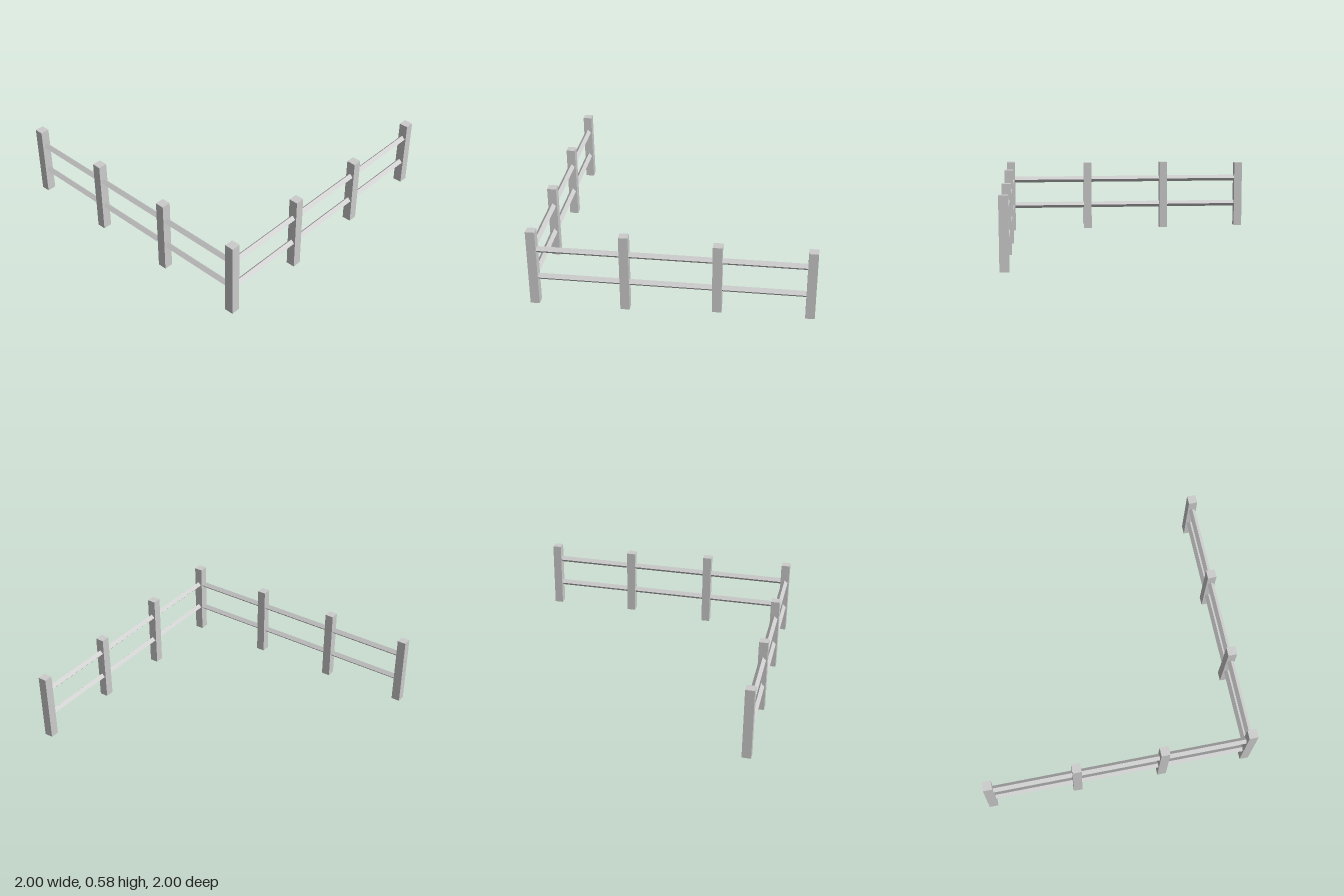
import * as THREE from 'three';

export function createModel() {
  const group = new THREE.Group();
  group.name = 'cornerFence';
  const grey = new THREE.MeshStandardMaterial({ color: 0xcccccc });
  grey.name = 'light grey';

  const W = 0.066;         // post width
  const E = 1 - W / 2;     // centre line of both fence runs
  const MID = 0.289;       // mid height shared by all posts

  // Square posts: [x, z, height]
  const posts = [
    [-E, E, 0.578], [-E / 3, E, 0.578], [E / 3, E, 0.52], [E, E, 0.52],
    [-E, E / 3, 0.56], [-E, -E / 3, 0.56], [-E, -E, 0.54],
  ];
  posts.forEach(([x, z, h], i) => {
    const post = new THREE.Mesh(new THREE.BoxGeometry(W, h, W), grey);
    post.position.set(x, MID, z);
    post.name = i === 0 ? 'cornerPost' : 'post' + i;
    group.add(post);
  });

  // Square rails turned on edge, two along each run
  const side = 0.035;
  for (const [level, y] of [['lower', 0.21], ['upper', 0.428]]) {
    const front = new THREE.Mesh(new THREE.BoxGeometry(2 * E, side, side), grey);
    front.rotation.x = Math.PI / 4;
    front.position.set(0, y, E);
    front.name = level + 'FrontRail';

    const right = new THREE.Mesh(new THREE.BoxGeometry(side, side, 2 * E), grey);
    right.rotation.z = Math.PI / 4;
    right.position.set(-E, y, 0);
    right.name = level + 'RightRail';
    group.add(front, right);
  }
  return group;
}
